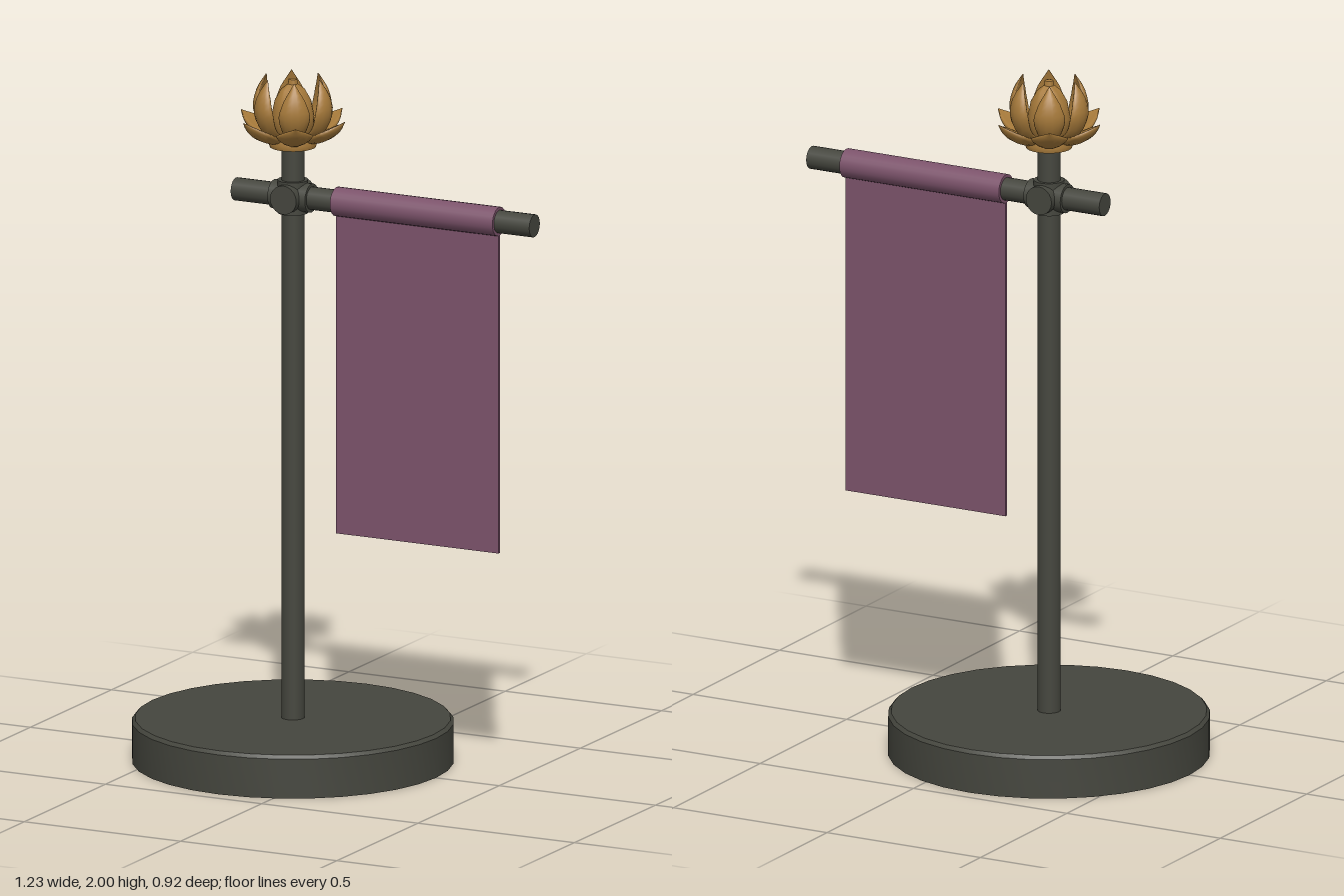
import * as THREE from 'three';
import { toCreasedNormals } from 'three/addons/utils/BufferGeometryUtils.js';

const CX = -0.16; // pole axis

// Closed cupped petal leaning along +x; rows are [radius, y, half width, half thickness]
function petalGeometry(rows, cup) {
  const curve = new THREE.CatmullRomCurve3(rows.map(r => new THREE.Vector3(r[0], r[1], 0)));
  const sizes = new THREE.CatmullRomCurve3(rows.map(r => new THREE.Vector3(r[2], r[3], 0)));
  const N = 12, M = 14, pos = [], idx = [];
  for (let i = 0; i <= N; i++) {
    const t = i / N, p = curve.getPoint(t), s = sizes.getPoint(t), d = curve.getTangent(t);
    for (let j = 0; j < M; j++) {
      const a = j / M * Math.PI * 2, c = Math.cos(a);
      // inward normal of the petal is (-d.y, d.x)
      const off = Math.sin(a) * s.y + cup * c * c * s.x;
      pos.push(p.x - d.y * off, p.y + d.x * off, c * s.x);
    }
  }
  for (let i = 0; i < N; i++) for (let j = 0; j < M; j++) {
    const a = i * M + j, b = i * M + (j + 1) % M;
    idx.push(a, a + M, b, b, a + M, b + M);
  }
  const g = new THREE.BufferGeometry();
  g.setAttribute('position', new THREE.Float32BufferAttribute(pos, 3));
  g.setIndex(idx);
  g.computeVertexNormals();
  return g;
}

const lathe = (pts, seg) => toCreasedNormals(
  new THREE.LatheGeometry(pts.map(p => new THREE.Vector2(...p)), seg), 0.7);

export function createModel() {
  const group = new THREE.Group();
  const mat = (name, color, side = THREE.FrontSide) => {
    const m = new THREE.MeshStandardMaterial({ color, side });
    m.name = name;
    return m;
  };
  const iron = mat('dark iron', 0x45463e);
  const cloth = mat('plum cloth', 0x7c536b);
  const gold = mat('aged gold', 0xa87b3b, THREE.DoubleSide);
  const add = (name, geo, material, x = 0, y = 0, z = 0, parent = group) => {
    const m = new THREE.Mesh(geo, material);
    m.name = name;
    m.position.set(x, y, z);
    parent.add(m);
    return m;
  };

  // Base disc with a slightly softened top edge
  add('base', lathe([[0, 0], [0.458, 0], [0.458, 0.115], [0.449, 0.125], [0, 0.125]], 32), iron, CX);

  // Pole and crossbar
  add('pole', new THREE.CylinderGeometry(0.033, 0.033, 1.7, 20), iron, CX, 0.95);
  add('crossbar', new THREE.CylinderGeometry(0.033, 0.033, 0.955, 20), iron, 0.1355, 1.65).rotation.z = Math.PI / 2;

  // Joint: three short sleeves crossing at the pole
  const joint = new THREE.Group();
  joint.name = 'joint';
  joint.position.set(CX, 1.65, 0);
  group.add(joint);
  add('verticalSleeve', new THREE.CylinderGeometry(0.044, 0.044, 0.096, 20), iron, 0, 0, 0, joint);
  add('barSleeve', new THREE.CylinderGeometry(0.042, 0.042, 0.12, 20), iron, 0, 0, 0, joint).rotation.z = Math.PI / 2;
  add('crossSleeve', new THREE.CylinderGeometry(0.042, 0.042, 0.12, 20), iron, 0, 0, 0, joint).rotation.x = Math.PI / 2;

  // Banner: sleeve rolled round the bar and a thin hanging sheet
  add('bannerRoll', new THREE.CylinderGeometry(0.042, 0.042, 0.52, 24), cloth, 0.24, 1.65).rotation.z = Math.PI / 2;
  add('bannerSheet', new THREE.BoxGeometry(0.52, 0.95, 0.009), cloth, 0.24, 1.155);

  // Lotus finial
  const lotus = new THREE.Group();
  lotus.name = 'lotusFinial';
  lotus.position.x = CX;
  group.add(lotus);
  add('lotusCollar', lathe([[0, 1.795], [0.066, 1.795], [0.07, 1.808], [0.066, 1.822], [0, 1.822]], 24), gold, 0, 0, 0, lotus);
  add('lotusBud', lathe([[0, 1.815], [0.04, 1.82], [0.058, 1.85], [0.061, 1.885], [0.052, 1.93],
    [0.034, 1.962], [0.014, 1.978], [0.012, 1.992], [0, 1.995]], 24), gold, 0, 0, 0, lotus);

  const outer = petalGeometry([[0.03, 1.815, 0.012, 0.006], [0.07, 1.822, 0.04, 0.012],
    [0.11, 1.838, 0.053, 0.013], [0.143, 1.861, 0.032, 0.009], [0.166, 1.884, 0.001, 0.001]], 0.25);
  const inner = petalGeometry([[0.04, 1.82, 0.012, 0.006], [0.085, 1.85, 0.034, 0.012],
    [0.108, 1.9, 0.045, 0.013], [0.104, 1.95, 0.031, 0.01], [0.085, 1.998, 0.001, 0.001]], 0.3);
  for (let i = 0; i < 6; i++) {
    add('outerPetal', outer, gold, 0, 0, 0, lotus).rotation.y = i * Math.PI / 3;
    add('innerPetal', inner, gold, 0, 0, 0, lotus).rotation.y = i * Math.PI / 3;
  }
  return group;
}
